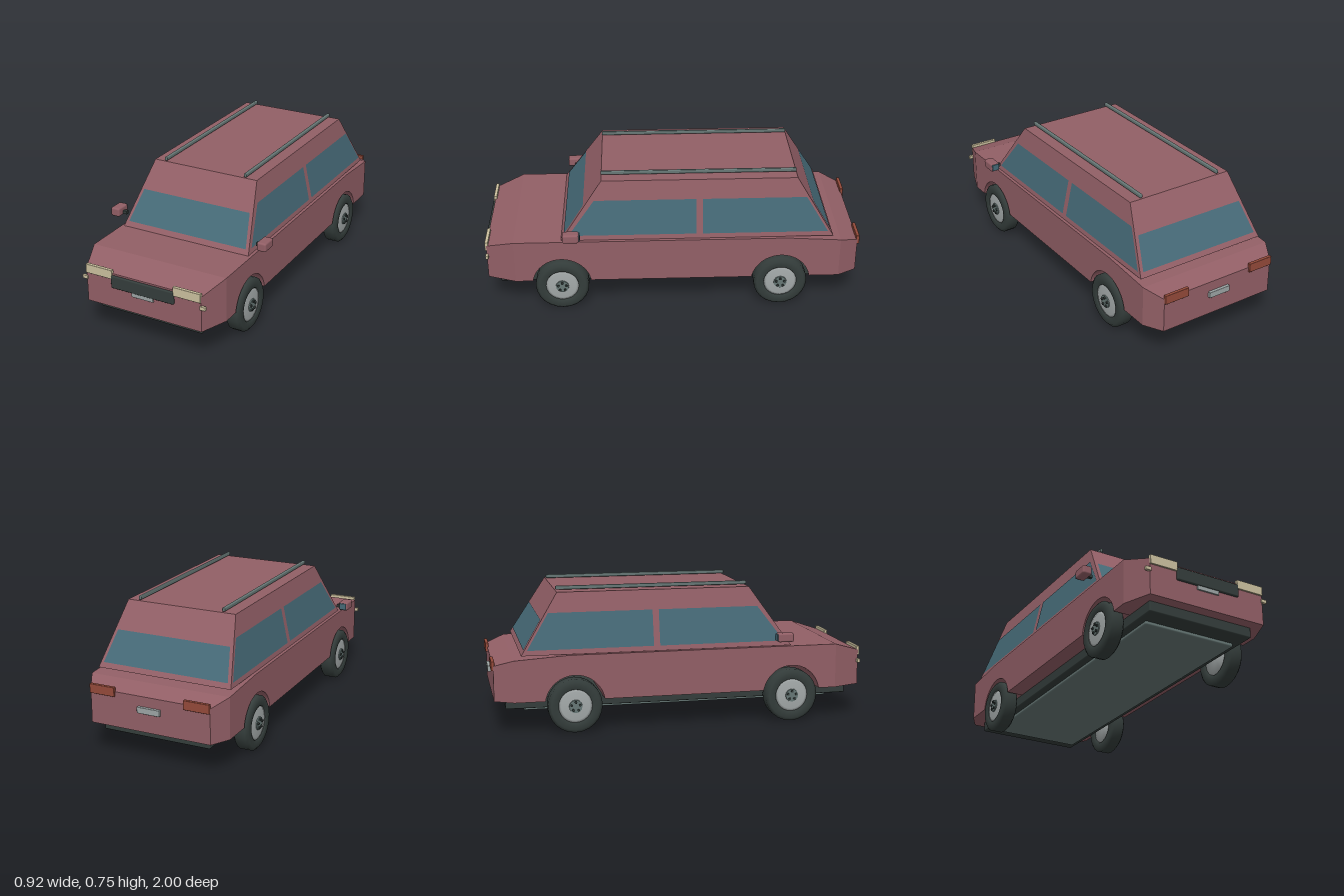
import * as THREE from 'three';
import { RoundedBoxGeometry } from 'three/addons/geometries/RoundedBoxGeometry.js';

const mat = (name, color, side = THREE.FrontSide) => {
  const m = new THREE.MeshStandardMaterial({ color, side });
  m.name = name;
  return m;
};

export function createModel() {
  const paint = mat('dusty red paint', 0x925f66);
  const glass = mat('blue glass', 0x466a77, THREE.DoubleSide);
  const rubber = mat('black rubber', 0x343d3b);
  const trim = mat('grey trim', 0x667775);
  const steel = mat('wheel steel', 0xa3a9a9);
  const cream = mat('cream lamp', 0xcbc09e);
  const red = mat('red lamp', 0x944a3a);
  const plateGrey = mat('plate grey', 0x9ca5a5);

  const car = new THREE.Group();
  car.name = 'car';
  const add = (name, geo, material, parent = car) => {
    const m = new THREE.Mesh(geo, material);
    m.name = name;
    parent.add(m);
    return m;
  };
  // rounded block given by its extents on each axis
  const block = (name, [x0, x1], [y0, y1], [z0, z1], material, r = 0.004) => {
    const geo = new RoundedBoxGeometry(x1 - x0, y1 - y0, z1 - z0, 2, r);
    add(name, geo.translate((x0 + x1) / 2, (y0 + y1) / 2, (z0 + z1) / 2), material);
  };
  // box whose corners are placed by a rule of (left/right, top?, front?)
  const warped = (name, rule) => {
    const geo = new THREE.BoxGeometry(2, 2, 2), p = geo.attributes.position;
    for (let i = 0; i < p.count; i++)
      p.setXYZ(i, ...rule(p.getX(i), p.getY(i) > 0, p.getZ(i) > 0));
    geo.computeVertexNormals();
    add(name, geo, paint);
  };

  // Lower body: side profile (z, y) with open wheel arches, extruded across
  const W = 0.385, base = 0.175, axles = [0.593, -0.573];
  const archY = 0.15, archR = 0.156, half = Math.sqrt(archR ** 2 - (base - archY) ** 2);
  const a0 = Math.asin((base - archY) / archR);
  const side = new THREE.Shape();
  side.moveTo(0.84, base);
  side.lineTo(0.84, 0.412);
  side.lineTo(-0.6, 0.412);
  side.lineTo(-0.885, 0.394);
  side.lineTo(-0.885, base);
  for (const z of [...axles].reverse()) {
    side.lineTo(z - half, base);
    side.absarc(z, archY, archR, Math.PI - a0, a0, true);
  }
  const bodyGeo = new THREE.ExtrudeGeometry(side, { depth: 2 * W, bevelEnabled: false, curveSegments: 20 });
  add('lowerBody', bodyGeo.rotateY(-Math.PI / 2).translate(W, 0, 0), paint);

  // Tapered nose and tail
  warped('nose', (s, top, front) => [s * (front ? 0.33 : W), top ? (front ? 0.365 : 0.412) : base, front ? 0.988 : 0.84]);
  warped('tail', (s, top, front) => [s * (front ? W : 0.33), top ? (front ? 0.394 : 0.36) : base, front ? -0.885 : -0.985]);

  // Cabin
  const y0 = 0.414, y1 = 0.727;
  const mix = (a, b) => y => a + (b - a) * (y - y0) / (y1 - y0);
  const cabX = mix(0.37, 0.302), cabF = mix(0.59, 0.372), cabR = mix(-0.845, -0.65);
  warped('cabin', (s, top, front) => {
    const y = top ? y1 : y0;
    return [s * cabX(y), y, front ? cabF(y) : cabR(y)];
  });

  // Windows: flat quads just proud of the cabin faces
  const pane = (name, a, b, c, d) => {
    const geo = new THREE.BufferGeometry();
    geo.setAttribute('position', new THREE.Float32BufferAttribute([a, b, c, d].flat(), 3));
    geo.setIndex([0, 1, 2, 0, 2, 3]);
    geo.computeVertexNormals();
    add(name, geo, glass);
  };
  const lift = 0.003;
  for (const [name, zAt, s] of [['windscreen', cabF, 1], ['rearWindow', cabR, -1]]) {
    const pt = (x, y) => [x * s, y, zAt(y) + s * lift];
    pane(name, pt(-0.347, 0.44), pt(0.347, 0.44), pt(0.314, 0.59), pt(-0.314, 0.59));
  }
  for (const s of [1, -1]) {
    const pt = (z, y) => [s * (cabX(y) + lift), y, z];
    const sidePane = (name, ...zy) => {
      const pts = zy.map(([z, y]) => pt(z, y));
      pane(name, ...(s > 0 ? pts : pts.reverse()));
    };
    sidePane('frontSideWindow', [0.55, 0.44], [-0.122, 0.44], [-0.122, 0.625], [0.412, 0.625]);
    sidePane('rearSideWindow', [-0.155, 0.44], [-0.815, 0.44], [-0.7, 0.625], [-0.155, 0.625]);
  }

  // Underbody
  block('underbody', [-0.296, 0.296], [0.122, 0.18], [-0.925, 0.928], rubber, 0.006);
  block('skidPlate', [-0.257, 0.257], [0.103, 0.124], [-0.83, 0.83], trim, 0.008);

  // Nose and tail fittings
  block('grille', [-0.18, 0.18], [0.288, 0.356], [0.98, 1], rubber, 0.006);
  block('frontPlate', [-0.062, 0.062], [0.267, 0.291], [0.982, 0.996], plateGrey, 0.002);
  block('rearPlate', [-0.062, 0.062], [0.276, 0.308], [-1, -0.982], plateGrey, 0.002);

  // Paired fittings
  for (const s of [1, -1]) {
    const span = (a, b) => (s > 0 ? [a, b] : [-b, -a]);
    block('headlight', span(0.175, 0.33), [0.335, 0.384], [0.978, 0.996], cream, 0.003);
    block('indicator', span(0.323, 0.355), [0.297, 0.317], [0.978, 0.994], cream, 0.003);
    block('tailLight', span(0.19, 0.33), [0.335, 0.384], [-0.996, -0.978], red, 0.003);
    block('roofRail', span(0.227, 0.243), [0.731, 0.751], [-0.65, 0.375], trim, 0.005);
    block('mirrorArm', span(0.385, 0.415), [0.453, 0.472], [0.52, 0.54], rubber, 0.003);
    block('mirrorHousing', span(0.408, 0.46), [0.447, 0.495], [0.492, 0.578], paint, 0.01);
    block('mirrorGlass', span(0.414, 0.454), [0.453, 0.489], [0.487, 0.495], glass, 0.002);
  }

  // Wheels: lathed about the axle, outer side towards +x
  const lathe = pts => new THREE.LatheGeometry(pts.map(p => new THREE.Vector2(...p)), 24).rotateZ(-Math.PI / 2);
  const tyreGeo = lathe([[0.085, -0.03], [0.092, -0.042], [0.126, -0.042], [0.142, -0.029],
    [0.142, 0.029], [0.126, 0.042], [0.092, 0.042], [0.085, 0.03]]);
  const rimGeo = lathe([[0, -0.032], [0.088, -0.032], [0.088, 0.034], [0.075, 0.036], [0.035, 0.04], [0, 0.04]]);
  const capGeo = new THREE.CylinderGeometry(0.034, 0.036, 0.012, 16).rotateZ(-Math.PI / 2).translate(0.04, 0, 0);
  const nutGeo = new THREE.CylinderGeometry(0.007, 0.007, 0.014, 6).rotateZ(-Math.PI / 2);
  for (const z of axles) for (const s of [1, -1]) {
    const wheel = new THREE.Group();
    wheel.name = 'wheel';
    wheel.position.set(s * 0.353, 0.144, z);
    if (s < 0) wheel.rotation.y = Math.PI;
    add('tyre', tyreGeo, rubber, wheel);
    add('rim', rimGeo, steel, wheel);
    add('hubCap', capGeo, trim, wheel);
    for (let i = 0; i < 5; i++) {
      const a = Math.PI / 2 + i * Math.PI * 0.4;
      add('wheelNut', nutGeo, rubber, wheel).position.set(0.046, 0.023 * Math.sin(a), 0.023 * Math.cos(a));
    }
    car.add(wheel);
  }
  return car;
}
